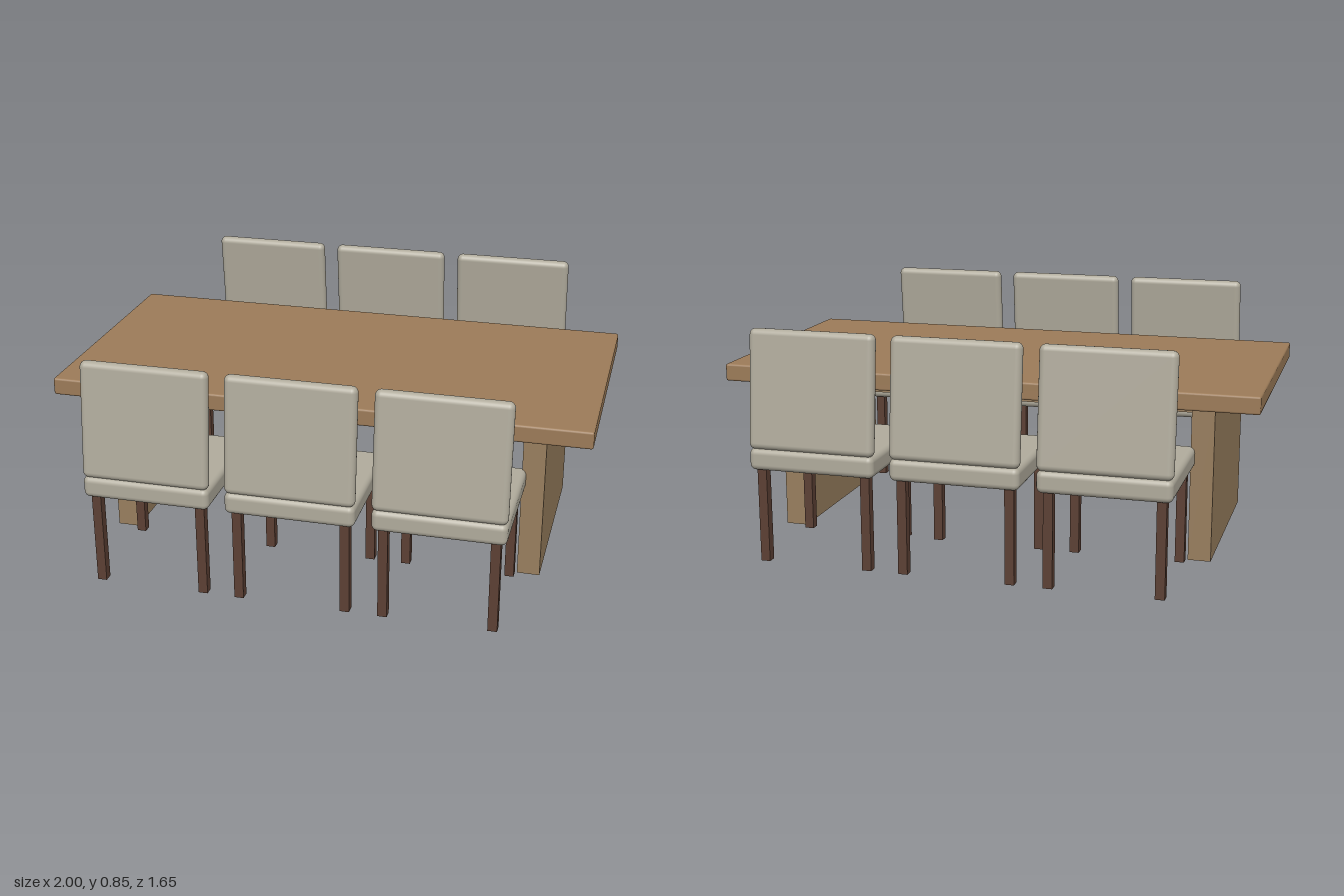
import * as THREE from 'three';
import { RoundedBoxGeometry } from 'three/addons/geometries/RoundedBoxGeometry.js';

const material = (name, color) => {
  const m = new THREE.MeshStandardMaterial({ color });
  m.name = name;
  return m;
};

export function createModel() {
  const topWood = material('table top wood', 0x9c7b58);
  const baseWood = material('table base wood', 0x987e5e);
  const fabric = material('upholstery', 0xb0ab9c);
  const legWood = material('dark leg wood', 0x5c4034);

  const model = new THREE.Group();
  model.name = 'diningSet';

  const add = (parent, name, geometry, mat, x, y, z) => {
    const mesh = new THREE.Mesh(geometry, mat);
    mesh.name = name;
    mesh.position.set(x, y, z);
    parent.add(mesh);
    return mesh;
  };

  // Table: slab top, two end panels and a central beam
  const table = new THREE.Group();
  table.name = 'table';
  model.add(table);
  add(table, 'tableTop', new RoundedBoxGeometry(2, 0.065, 1, 2, 0.008), topWood, 0, 0.6175, 0);
  const panel = new THREE.BoxGeometry(0.083, 0.587, 0.75);
  add(table, 'leftPanel', panel, baseWood, 0.787, 0.2935, 0);
  add(table, 'rightPanel', panel, baseWood, -0.787, 0.2935, 0);
  add(table, 'beam', new THREE.BoxGeometry(1.5, 0.121, 0.08), baseWood, 0, 0.5265, 0);

  // Chair parts shared by all six chairs
  const seat = new RoundedBoxGeometry(0.468, 0.08, 0.472, 4, 0.022);
  const back = new RoundedBoxGeometry(0.468, 0.43, 0.047, 4, 0.022);
  const leg = new THREE.BoxGeometry(0.034, 0.35, 0.034);

  // Each chair is built with its backrest on the +z side
  const makeChair = () => {
    const chair = new THREE.Group();
    chair.name = 'chair';
    add(chair, 'seat', seat, fabric, 0, 0.384, 0);
    add(chair, 'backrest', back, fabric, 0, 0.634, 0.194).rotation.x = -0.095;
    for (const x of [-0.195, 0.195]) {
      add(chair, 'innerLeg', leg, legWood, x, 0.175, -0.195);
      add(chair, 'outerLeg', leg, legWood, x, 0.175, 0.195);
    }
    return chair;
  };

  // Three chairs along each long side, facing the table
  for (const side of [1, -1]) {
    for (const x of [-0.526, 0, 0.526]) {
      const chair = makeChair();
      chair.position.set(x, 0, side * 0.588);
      chair.rotation.y = side > 0 ? 0 : Math.PI;
      model.add(chair);
    }
  }
  return model;
}
